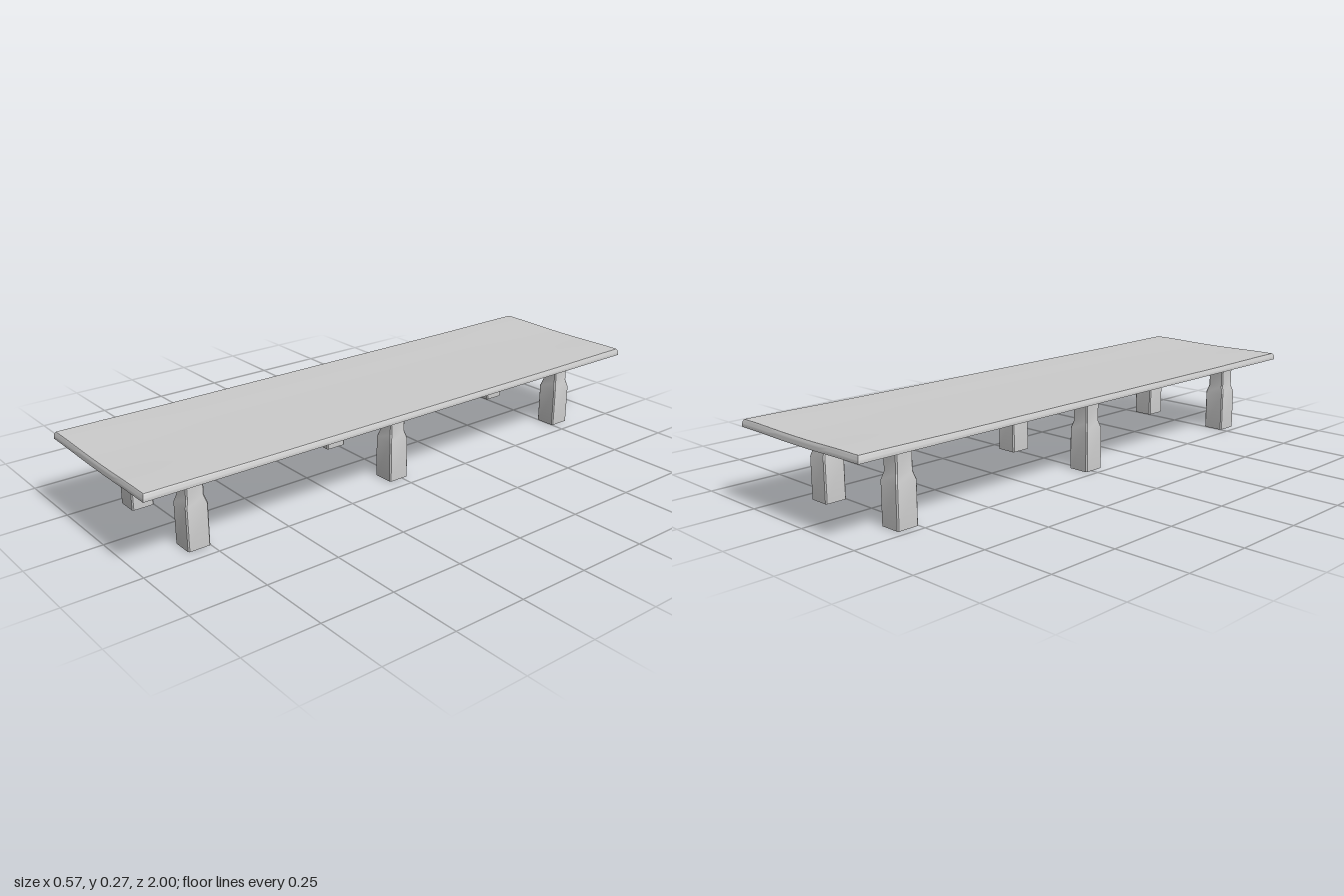
import * as THREE from 'three';
import { toCreasedNormals } from 'three/addons/utils/BufferGeometryUtils.js';

const material = new THREE.MeshStandardMaterial({ color: 0xcccccc, side: THREE.DoubleSide });

function addMesh(parent, name, geometry) {
  const mesh = new THREE.Mesh(geometry, material);
  mesh.name = name;
  parent.add(mesh);
  return mesh;
}

// Slab with softened edges, dipping slightly along its middle
function deckGeometry() {
  const w = 0.572, h = 0.023, d = 2, soft = 0.006;
  const g = new THREE.BoxGeometry(w, h, d, 16, 4, 24);
  const p = g.attributes.position;
  for (let i = 0; i < p.count; i++) {
    const x = p.getX(i), y = p.getY(i), z = p.getZ(i);
    const t = y / h + 0.5;
    const inset = soft * t ** 3;
    const side = THREE.MathUtils.smoothstep(Math.abs(x), 0.03, 0.24);
    const end = THREE.MathUtils.smoothstep(Math.abs(z), 0.6, 0.95);
    const dip = 0.003 * (1 - side) + 0.002 * t * side * (1 - end);
    p.setXYZ(i, x * (1 - inset / (w / 2)), y + 0.2615 - dip, z * (1 - inset / (d / 2)));
  }
  return toCreasedNormals(g, 0.7);
}

// Hollow square post with chamfered corners, narrowing at a shoulder
function legGeometry() {
  const rings = [[0, 0.038], [0.14, 0.038], [0.166, 0.0305], [0.256, 0.0305]];
  const c = 0.004, pos = [], index = [];
  for (const [y, r] of rings) {
    const s = r - c;
    const ring = [[r, -s], [r, s], [s, r], [-s, r], [-r, s], [-r, -s], [-s, -r], [s, -r]];
    for (const [x, z] of ring) pos.push(x, y, z);
  }
  for (let j = 0; j < rings.length - 1; j++) {
    for (let i = 0; i < 8; i++) {
      const a = j * 8 + i, b = j * 8 + (i + 1) % 8;
      index.push(a, a + 8, b, b, a + 8, b + 8);
    }
  }
  const g = new THREE.BufferGeometry();
  g.setAttribute('position', new THREE.Float32BufferAttribute(pos, 3));
  g.setIndex(index);
  return toCreasedNormals(g, 0.3);
}

// Cross brace with an arched underside
function braceGeometry() {
  const x0 = -0.16, x1 = 0.14, depth = 0.03;
  const shape = new THREE.Shape();
  shape.moveTo(x0, 0.252);
  shape.lineTo(x0, 0.195);
  shape.quadraticCurveTo((x0 + x1) / 2, 0.219, x1, 0.193);
  shape.lineTo(x1, 0.252);
  shape.closePath();
  const g = new THREE.ExtrudeGeometry(shape, { depth, bevelEnabled: false, curveSegments: 12 });
  g.translate(0, 0, -depth / 2);
  return toCreasedNormals(g, 0.6);
}

export function createModel() {
  const model = new THREE.Group();
  model.name = 'lowTable';
  addMesh(model, 'tableTop', deckGeometry());

  // Three pairs of legs, each joined by a brace
  const leg = legGeometry(), brace = braceGeometry();
  [['front', 0.788], ['middle', 0.013], ['back', -0.788]].forEach(([name, z]) => {
    const trestle = new THREE.Group();
    trestle.name = name + 'Trestle';
    trestle.position.z = z;
    addMesh(trestle, name + 'RightLeg', leg).position.x = -0.184;
    addMesh(trestle, name + 'LeftLeg', leg).position.x = 0.164;
    addMesh(trestle, name + 'Brace', brace);
    model.add(trestle);
  });
  return model;
}
